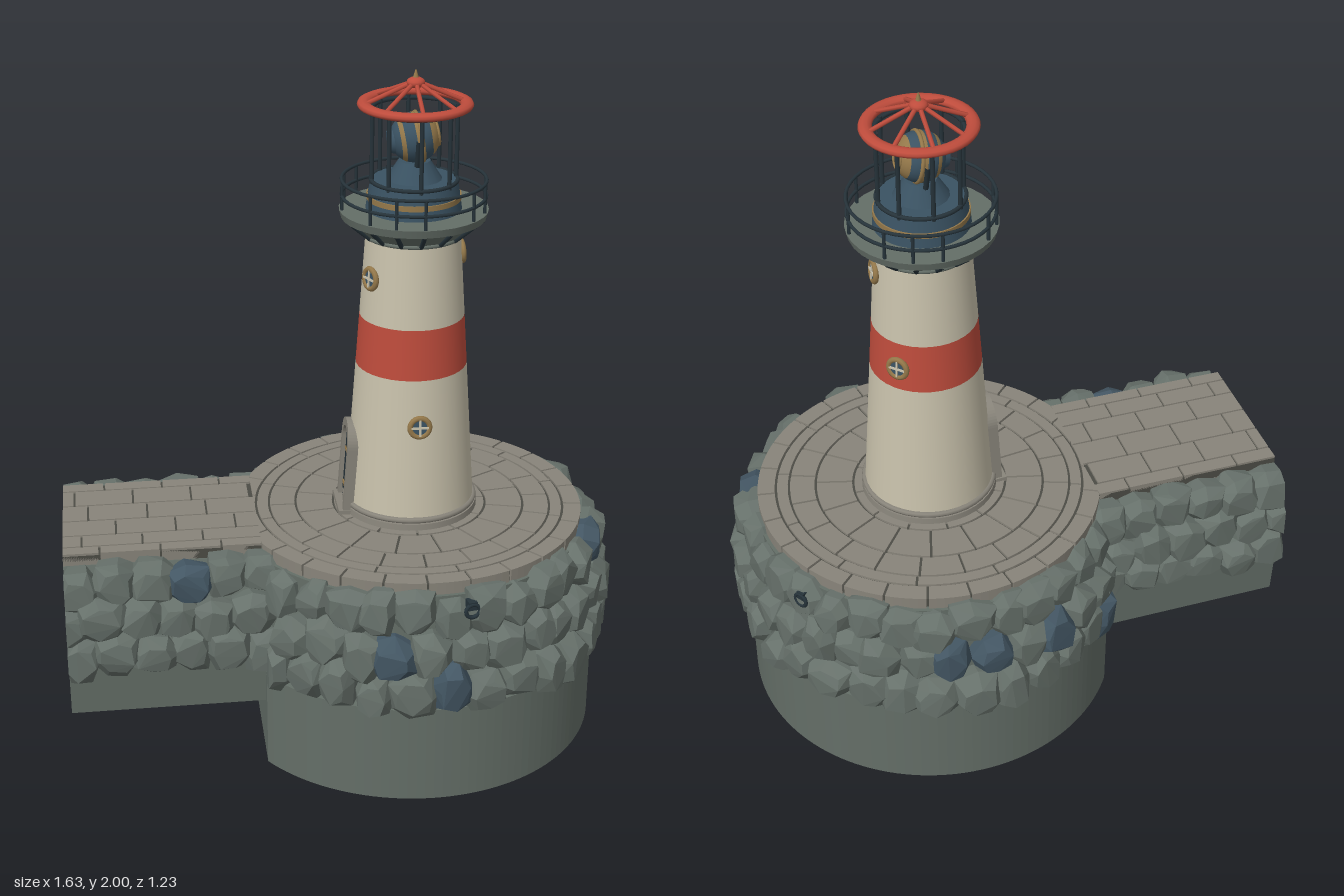
import * as THREE from 'three';
import { mergeGeometries } from 'three/addons/utils/BufferGeometryUtils.js';
import { ConvexGeometry } from 'three/addons/geometries/ConvexGeometry.js';

const CX = 0.215, CUT = -0.25, END = -0.82; // tower axis, flat side of the drum, jetty end
const TAU = Math.PI * 2, LEAN = 0.068;

const mat = (name, color, flatShading = false) => {
  const m = new THREE.MeshStandardMaterial({ color, flatShading });
  m.name = name;
  return m;
};

let seed = 7;
const rnd = () => (seed = (seed * 16807) % 2147483647) / 2147483647;
const jit = (a) => (rnd() * 2 - 1) * a;

// Shape drawn in (x, -z), extruded upwards from y0 to y1
function slab(shape, y0, y1) {
  return new THREE.ExtrudeGeometry(shape, { depth: y1 - y0, bevelEnabled: false, curveSegments: 56 })
    .rotateX(-Math.PI / 2).translate(0, y0, 0);
}

// Disc round the tower with its left side cut flat
function cutDisc(r, y0, y1) {
  const a = Math.acos((CUT - CX) / r);
  return slab(new THREE.Shape().absarc(CX, 0, r, -a, a, false), y0, y1);
}

// Faceted stone facing direction a (0 = +z, PI/2 = +x), trimmed at minX
function stone(x, y, z, w, h, d, a, minX) {
  const pts = [], n = 7, turn = rnd() * TAU;
  for (const [depth, s] of [[-0.5, 0.85], [0.12, 1], [0.5, 0.66]]) {
    for (let i = 0; i < n; i++) {
      const t = turn + (i / n) * TAU + jit(0.15);
      const c = Math.cos(t), q = Math.sin(t);
      const k = s * (1 + jit(0.09)) / Math.pow(c ** 4 + q ** 4, 0.2);
      const p = new THREE.Vector3(c * k * w / 2, q * k * h / 2, (depth + jit(0.08)) * d);
      p.applyAxisAngle(new THREE.Vector3(0, 1, 0), a).add(new THREE.Vector3(x, y, z));
      p.x = Math.min(Math.max(p.x, minX), 0.815);
      p.y = Math.min(p.y, 0.668);
      pts.push(p);
    }
  }
  return new ConvexGeometry(pts);
}

function archShape(w, h) {
  const s = new THREE.Shape();
  s.moveTo(-w / 2, 0).lineTo(w / 2, 0).lineTo(w / 2, h - w / 2);
  s.absarc(0, h - w / 2, w / 2, 0, Math.PI, false);
  return s.lineTo(-w / 2, 0);
}

export function createModel() {
  const root = new THREE.Group();
  const M = {
    cream: mat('cream render', 0xc9c2ac), red: mat('signal red', 0xbe4c3c),
    rock: mat('grey rock', 0x66706a, true), slate: mat('blue rock', 0x435663, true),
    wall: mat('sea wall', 0x646e67), paving: mat('paving', 0x88847a), joint: mat('paving joint', 0x4c4c45),
    iron: mat('dark iron', 0x26333a), brass: mat('brass', 0x94784a), glass: mat('blue glass', 0x3a5262),
  };
  const add = (name, geo, m, parent = root) => {
    const mesh = new THREE.Mesh(geo, m);
    mesh.name = name;
    parent.add(mesh);
    return mesh;
  };
  const group = (name, x = 0, y = 0, z = 0) => {
    const g = new THREE.Group();
    g.name = name;
    g.position.set(x, y, z);
    root.add(g);
    return g;
  };
  const cyl = (r1, r0, y0, y1, n = 40) => new THREE.CylinderGeometry(r1, r0, y1 - y0, n).translate(0, (y0 + y1) / 2, 0);
  const ring = (r, t, y, n = 40) => new THREE.TorusGeometry(r, t, 8, n).rotateX(Math.PI / 2).translate(0, y, 0);
  const bar = (a, b, r) => new THREE.TubeGeometry(new THREE.LineCurve3(new THREE.Vector3(...a), new THREE.Vector3(...b)), 1, r, 6);

  // Sea walls
  add('drumBase', cutDisc(0.567, 0, 0.3), M.wall);
  add('drumCore', cutDisc(0.525, 0.3, 0.645), M.wall);
  const prof = new THREE.Shape([[-0.285, 0.19], [0.285, 0.19], [0.3, 0.42], [0.225, 0.645], [-0.225, 0.645], [-0.3, 0.42]]
    .map((p) => new THREE.Vector2(...p)));
  add('jettyWall', new THREE.ExtrudeGeometry(prof, { depth: CUT - END + 0.02, bevelEnabled: false })
    .rotateY(Math.PI / 2).translate(END, 0, 0), M.wall);

  // Rubble stones in three courses
  const grey = [], blue = [];
  const lay = (g, chance) => (rnd() < chance ? blue : grey).push(g);
  [[0.355, 0.548], [0.475, 0.54], [0.592, 0.515]].forEach(([y, r], row) => {
    const n = 27, a0 = -0.87, a1 = Math.PI + 0.87;
    for (let i = 0; i < n; i++) {
      const a = a0 + (a1 - a0) * Math.min(1, (i + (row % 2) * 0.5) / (n - 1)) + jit(0.025);
      const rr = r + jit(0.012);
      lay(stone(CX + rr * Math.sin(a), y + jit(0.02), rr * Math.cos(a), 0.135 + jit(0.025), 0.15 + jit(0.02), 0.11, a, CUT),
        [0.15, 0.06, 0.04][row]);
    }
  });
  for (const s of [1, -1]) {
    [[0.395, 0.29], [0.495, 0.285], [0.595, 0.255]].forEach(([y, z], row) => {
      for (let i = 0; i < 6; i++) {
        const x = END + 0.035 + i * 0.107 - (row % 2) * 0.04;
        lay(stone(x, y + jit(0.02), s * (z + jit(0.012)), 0.14 + jit(0.02), 0.14 + jit(0.02), 0.1, s > 0 ? 0 : Math.PI, END), 0.06);
      }
    });
  }
  add('rubbleStones', mergeGeometries(grey), M.rock);
  add('darkRubbleStones', mergeGeometries(blue), M.slate);

  // Round paving: rings of tiles over a joint bed
  add('drumPavingBed', cutDisc(0.508, 0.64, 0.675), M.joint);
  const tiles = [];
  for (const [r0, r1, n] of [[0.17, 0.225, 12], [0.232, 0.338, 16], [0.345, 0.418, 20], [0.425, 0.457, 12], [0.464, 0.515, 26]]) {
    const gap = 0.0035, off = r0 * 9;
    for (let i = 0; i < n; i++) {
      const a = off + (i / n) * TAU, b = off + ((i + 1) / n) * TAU, pts = [];
      for (const [r, from, to] of [[r0, a + gap / r0, b - gap / r0], [r1, b - gap / r1, a + gap / r1]]) {
        for (let k = 0; k <= 5; k++) {
          const t = from + (to - from) * k / 5;
          pts.push(new THREE.Vector2(Math.max(CUT, CX + r * Math.cos(t)), r * Math.sin(t)));
        }
      }
      if (Math.max(...pts.map((p) => p.x)) > CUT + 0.006) tiles.push(slab(new THREE.Shape(pts), 0.645, 0.682));
    }
  }
  add('drumPaving', mergeGeometries(tiles), M.paving);

  // Jetty paving in staggered rows
  add('jettyPavingBed', new THREE.BoxGeometry(CUT - END, 0.035, 0.444).translate((CUT + END) / 2, 0.6575, 0), M.joint);
  const bricks = [], rows = [-0.225, -0.175, -0.078, 0.02, 0.112, 0.18, 0.225];
  for (let i = 0; i < 6; i++) {
    for (let x = END - [0.05, 0.14, 0.1, 0.02, 0.12, 0.07][i]; x < CUT; x += 0.175) {
      const x0 = Math.max(END, x + 0.003), x1 = Math.min(CUT, x + 0.172);
      if (x1 - x0 < 0.01) continue;
      bricks.push(new THREE.BoxGeometry(x1 - x0, 0.037, rows[i + 1] - rows[i] - 0.006)
        .translate((x0 + x1) / 2, 0.6635, (rows[i] + rows[i + 1]) / 2));
    }
  }
  add('jettyPaving', mergeGeometries(bricks), M.paving);

  // Mooring rings
  for (const a of [0.16, 2.16]) {
    const g = group('mooringRing', CX + 0.572 * Math.sin(a), 0.615, 0.572 * Math.cos(a));
    g.rotation.y = a;
    add('ring', new THREE.TorusGeometry(0.02, 0.006, 8, 16), M.iron, g);
    add('ringPlate', new THREE.BoxGeometry(0.025, 0.025, 0.03).translate(0, 0.015, -0.012), M.iron, g);
  }

  // Tapered tower with painted band
  const tower = group('tower', CX);
  const rad = (y) => 0.191 - (y - 0.71) * 0.0675;
  const section = (y0, y1) => cyl(rad(y1), rad(y0), y0, y1, 36);
  add('plinth', cyl(0.2, 0.203, 0.675, 0.7), M.paving, tower);
  add('plinthMoulding', ring(0.192, 0.009, 0.71), M.paving, tower);
  add('lowerTower', section(0.7, 1.14), M.cream, tower);
  add('redBand', section(1.14, 1.29), M.red, tower);
  add('upperTower', section(1.29, 1.54), M.cream, tower);

  // Round windows
  for (const [a, y] of [[0, 1], [Math.PI / 2, 1.47], [Math.PI * 0.75, 1.21], [-1.12, 1.42]]) {
    const r = rad(y) + 0.002;
    const g = group('window', CX + r * Math.sin(a), y, r * Math.cos(a));
    g.rotation.set(-LEAN, a, 0, 'YXZ');
    add('windowFrame', new THREE.TorusGeometry(0.028, 0.0085, 8, 24), M.brass, g);
    add('windowPane', new THREE.CylinderGeometry(0.028, 0.028, 0.008, 24).rotateX(Math.PI / 2), M.glass, g);
    add('windowBarAcross', new THREE.BoxGeometry(0.05, 0.006, 0.006).translate(0, 0, 0.005), M.cream, g);
    add('windowBarUp', new THREE.BoxGeometry(0.006, 0.05, 0.006).translate(0, 0, 0.005), M.cream, g);
  }

  // Arched door facing the jetty
  const door = group('door', CX - 0.192, 0.68, 0);
  door.rotation.set(-LEAN, -Math.PI / 2, 0, 'YXZ');
  const frame = archShape(0.14, 0.28);
  frame.holes.push(archShape(0.1, 0.255));
  add('doorFrame', new THREE.ExtrudeGeometry(frame, { depth: 0.045, bevelEnabled: false }).translate(0, 0, -0.028), M.paving, door);
  add('doorLeaf', new THREE.ExtrudeGeometry(archShape(0.102, 0.256), { depth: 0.035, bevelEnabled: false }).translate(0, 0, -0.03), M.iron, door);
  for (const y of [0.06, 0.17]) add('doorHinge', new THREE.BoxGeometry(0.08, 0.008, 0.005).translate(0, y, 0.006), M.brass, door);
  add('doorStep', new THREE.BoxGeometry(0.15, 0.015, 0.06).translate(0, 0.005, 0), M.paving, door);

  // Gallery floor, brackets and railing
  const gallery = group('gallery', CX);
  add('galleryFlare', cyl(0.195, 0.14, 1.535, 1.585, 16), M.wall, gallery);
  add('galleryFloor', cyl(0.212, 0.206, 1.583, 1.606, 32), M.wall, gallery);
  add('galleryCollar', ring(0.14, 0.007, 1.535), M.wall, gallery);
  for (let i = 0; i < 16; i++) {
    const a = (i / 16) * TAU, c = Math.cos(a), s = Math.sin(a);
    add('bracket', bar([c * 0.142, 1.535, s * 0.142], [c * 0.2, 1.585, s * 0.2], 0.007), M.iron, gallery);
    if (i % 4 !== 3) add('railPost', bar([c * 0.204, 1.6, s * 0.204], [c * 0.204, 1.69, s * 0.204], 0.005), M.iron, gallery);
  }
  for (const y of [1.645, 1.69]) add('rail', ring(0.204, 0.005, y), M.iron, gallery);

  // Lantern base and cage
  const lantern = group('lantern', CX);
  add('lanternBase', cyl(0.132, 0.137, 1.6, 1.635), M.glass, lantern);
  add('lanternBrassBand', cyl(0.134, 0.134, 1.635, 1.65), M.brass, lantern);
  add('lanternUpperBase', cyl(0.122, 0.13, 1.65, 1.692), M.glass, lantern);
  add('lanternSill', ring(0.122, 0.006, 1.69), M.iron, lantern);
  add('lampPedestal', cyl(0.045, 0.08, 1.69, 1.745, 16), M.glass, lantern);
  for (let i = 0; i < 8; i++) {
    const a = (i / 8) * TAU, c = Math.cos(a), s = Math.sin(a);
    add('cagePost', bar([c * 0.12, 1.68, s * 0.12], [c * 0.12, 1.9, s * 0.12], 0.0065), M.iron, lantern);
    add('roofSpoke', bar([c * 0.14, 1.908, s * 0.14], [c * 0.01, 1.965, s * 0.01], 0.0065), M.red, lantern);
  }
  add('cageRing', ring(0.121, 0.006, 1.89), M.iron, lantern);
  add('roofRing', new THREE.TorusGeometry(0.143, 0.019, 10, 40).rotateX(Math.PI / 2).scale(1, 0.65, 1).translate(0, 1.905, 0), M.red, lantern);
  add('roofHub', new THREE.SphereGeometry(0.026, 16, 10).scale(1, 0.6, 1).translate(0, 1.965, 0), M.red, lantern);
  add('finial', cyl(0.002, 0.011, 1.97, 2, 10), M.brass, lantern);

  // Ball lens of banded brass and glass, pointing to the left side
  const lens = group('lens', CX, 1.81, 0);
  lens.rotation.z = -Math.PI / 2 + 0.15;
  const bands = [0, 0.75, 0.95, 1.4, 1.6, 2.05, 2.25, Math.PI];
  for (let i = 0; i < 7; i++) {
    add('lensBand', new THREE.SphereGeometry(0.071, 24, 4, 0, TAU, bands[i], bands[i + 1] - bands[i]), i === 0 || i % 2 ? M.brass : M.glass, lens);
  }
  add('lensCollar', ring(0.069, 0.006, 0.012, 24), M.brass, lens);
  add('lensEye', ring(0.032, 0.005, 0.063, 20), M.brass, lens);
  add('lensBackCap', cyl(0.04, 0.03, -0.076, -0.052, 16), M.glass, lens);
  for (const s of [1, -1]) add('lensYoke', bar([0, 1.74, s * 0.05], [0, 1.82, s * 0.077], 0.008), M.iron, lantern);

  return root;
}
